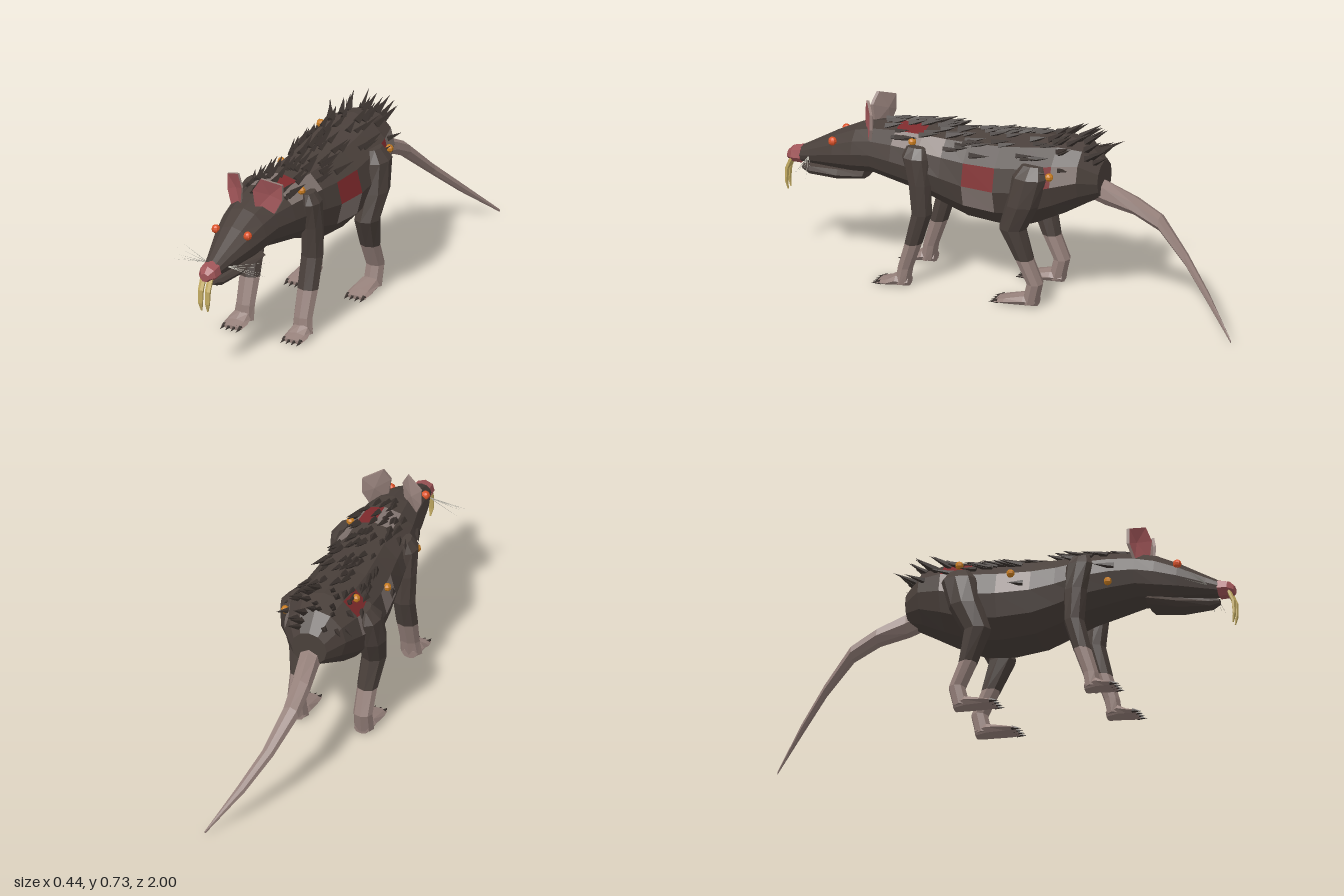
import * as THREE from 'three';
import { mergeGeometries } from 'three/addons/utils/BufferGeometryUtils.js';

const paint = (name, color) => Object.assign(new THREE.MeshStandardMaterial({ color }), { name });

export function createModel() {
  const model = new THREE.Group();
  const fur = paint('fur', 0x4a403b), bristle = paint('dark bristle', 0x3a322e);
  const skin = paint('bare skin', 0x95807a), patch = paint('taupe patch', 0x827570);
  const red = paint('red patch', 0x7e2a2c), pink = paint('pink', 0xa05558);
  const eyeRed = paint('eye orange', 0xdc5228), brass = paint('brass', 0xc87c20);
  const ivory = paint('tooth ivory', 0xc4ac62), pale = paint('whisker', 0xb5b2a8);

  const add = (name, geo, mat) => {
    let g = geo.index ? geo.toNonIndexed() : geo;
    g.computeVertexNormals();   // split corners give faceted shading
    const mesh = new THREE.Mesh(g, mat);
    mesh.name = name;
    model.add(mesh);
    return mesh;
  };

  // Skin rings [x, y, z, rx, r2]; axis 'z' runs front to back, axis 'y' runs upward.
  function loft(rings, sides, axis, materialAt = () => 0, slots = 1) {
    const buckets = Array.from({ length: slots }, () => []);
    const point = ([x, y, z, rx, r2], j) => {
      const a = j / sides * Math.PI * 2, s = Math.sin(a) * rx, c = Math.cos(a) * r2;
      return axis === 'z' ? [x + s, y + c, z] : [x + s, y, z + c];
    };
    for (let j = 0; j < sides; j++) {
      for (let i = 0; i < rings.length - 1; i++) {
        const a = point(rings[i], j), b = point(rings[i], j + 1);
        const c = point(rings[i + 1], j + 1), d = point(rings[i + 1], j);
        buckets[materialAt(i, j)].push(...a, ...b, ...c, ...a, ...c, ...d);
      }
      const first = rings[0], last = rings[rings.length - 1];
      buckets[0].push(...first.slice(0, 3), ...point(first, j + 1), ...point(first, j));
      buckets[0].push(...last.slice(0, 3), ...point(last, j), ...point(last, j + 1));
    }
    const geo = new THREE.BufferGeometry();
    geo.setAttribute('position', new THREE.Float32BufferAttribute(buckets.flat(), 3));
    let start = 0;
    if (slots > 1) buckets.forEach((b, k) => {
      geo.addGroup(start, b.length / 3, k);
      start += b.length / 3;
    });
    return geo;
  }

  // Pointed cone standing at p along dir
  const UP = new THREE.Vector3(0, 1, 0);
  function thorn(p, dir, length, radius, sides) {
    const q = new THREE.Quaternion().setFromUnitVectors(UP, dir.clone().normalize());
    return new THREE.ConeGeometry(radius, length, sides).toNonIndexed()
      .translate(0, length / 2, 0).applyQuaternion(q).translate(p.x, p.y, p.z);
  }
  const V = (x, y, z) => new THREE.Vector3(x, y, z);

  // Head and body: z, half width, top, bottom
  const profile = [
    [0.94, 0.036, 0.465, 0.405], [0.88, 0.052, 0.50, 0.405], [0.77, 0.086, 0.565, 0.405],
    [0.68, 0.106, 0.61, 0.405], [0.60, 0.118, 0.63, 0.415], [0.50, 0.138, 0.645, 0.395],
    [0.38, 0.152, 0.65, 0.37], [0.28, 0.155, 0.65, 0.33], [0.18, 0.165, 0.655, 0.295],
    [0.04, 0.178, 0.665, 0.285], [-0.08, 0.178, 0.68, 0.30], [-0.20, 0.165, 0.695, 0.36],
    [-0.30, 0.13, 0.68, 0.42], [-0.37, 0.075, 0.61, 0.46],
  ];
  const bodyRings = profile.map(([z, w, t, b]) => [0, (t + b) / 2, z, w, (t - b) / 2]);
  // Coloured cells keyed by ring,side
  const cells = {
    '5,0': 2, '5,11': 1, '5,1': 1, '6,1': 1, '8,2': 2, '8,3': 1,
    '10,2': 2, '11,2': 1, '10,10': 2, '10,9': 1, '8,9': 1,
  };
  add('body', loft(bodyRings, 12, 'z', (i, j) => cells[`${i},${j}`] || 0, 3), [fur, patch, red]);

  // Point and outward direction on the body
  function onBody(z, angle) {
    let i = 0;
    while (i < bodyRings.length - 2 && bodyRings[i + 1][2] > z) i++;
    const A = bodyRings[i], B = bodyRings[i + 1], t = (A[2] - z) / (A[2] - B[2]);
    const [, y, , w, h] = A.map((v, k) => v + (B[k] - v) * t);
    const s = Math.sin(angle), c = Math.cos(angle);
    return { p: V(w * s * 0.97, y + h * c * 0.97, z), n: V(s / w, c / h, 0).normalize() };
  }

  // Bristles leaning back over the spine, standing up on the rump
  let seed = 11;
  const rand = () => (seed = (seed * 16807) % 2147483647) / 2147483647;
  const bristles = [];
  for (let k = 0; k < 110; k++) {
    const z = 0.57 - 0.92 * (k + rand()) / 110;
    const angle = (rand() - 0.5) * (k % 5 ? 1.7 : 2.8);
    const { p, n } = onBody(z, angle);
    const lift = z < -0.15 ? 0.75 : 0.38;
    bristles.push(thorn(p, n.multiplyScalar(lift).add(V((rand() - 0.5) * 0.3, 0, -1)),
      0.06 + rand() * 0.045, 0.011 + rand() * 0.006, 4));
  }
  add('backBristles', mergeGeometries(bristles), bristle);

  // Brass studs on the patches
  [[0.41, 0.82], [-0.2, 1.3], [-0.13, -0.68], [0.1, -1.1], [0.5, -1.9]].forEach(([z, angle]) => {
    const { p, n } = onBody(z, angle);
    p.addScaledVector(n, 0.01);
    add('stud', new THREE.SphereGeometry(0.017, 7, 5).translate(p.x, p.y, p.z), brass);
  });

  // Nose, lower jaw and tail
  add('nose', loft([[0, 0.425, 0.988, 0.02, 0.018], [0, 0.432, 0.965, 0.04, 0.034],
    [0, 0.437, 0.925, 0.043, 0.039]], 7, 'z'), pink);
  add('lowerJaw', loft([[0, 0.383, 0.925, 0.015, 0.012], [0, 0.378, 0.89, 0.032, 0.022],
    [0, 0.388, 0.76, 0.06, 0.028], [0, 0.41, 0.64, 0.08, 0.025]], 8, 'z'), fur);
  add('tail', loft([[0, 0.50, -0.32, 0.05, 0.055], [0, 0.475, -0.38, 0.045, 0.05],
    [-0.01, 0.435, -0.5, 0.042, 0.036], [-0.008, 0.38, -0.61, 0.036, 0.034],
    [0.04, 0.26, -0.74, 0.025, 0.025], [0.11, 0.145, -0.86, 0.019, 0.02],
    [0.207, 0.012, -1, 0.003, 0.006]], 7, 'z'), skin);

  // Cupped ear outline, x and y
  const earEdge = [[0.035, 0.595], [0.1, 0.58], [0.125, 0.635], [0.125, 0.70], [0.052, 0.73], [0.025, 0.68]];
  function earFan(s, back) {
    const pos = [], at = ([x, y], dz) => [s * x, y, 0.645 - (x - 0.03) * 0.6 + dz - (back ? 0.012 : 0)];
    earEdge.forEach((e, i) => {
      const f = earEdge[(i + 1) % earEdge.length];
      const tri = [at([0.078, 0.655], -0.014), at(e, 0), at(f, 0)];
      if ((s < 0) !== back) tri.reverse();
      pos.push(...tri.flat());
      if (back) {   // rim joining front and back
        const up = (p) => [p[0], p[1], p[2] + 0.012], a = at(e, 0), b = at(f, 0);
        const rim = [[a, b, up(b)], [a, up(b), up(a)]];
        rim.forEach((r) => pos.push(...(s < 0 ? r.reverse() : r).flat()));
      }
    });
    const g = new THREE.BufferGeometry();
    return g.setAttribute('position', new THREE.Float32BufferAttribute(pos, 3));
  }

  // Leg rings from the ground up, sharing the ring where the fur ends
  const legs = {
    front: {
      bare: [[0.135, 0.015, 0.44, 0.046, 0.03], [0.132, 0.08, 0.43, 0.042, 0.032], [0.133, 0.19, 0.395, 0.046, 0.036]],
      furry: [[0.133, 0.19, 0.395, 0.047, 0.037], [0.133, 0.32, 0.36, 0.048, 0.042],
        [0.14, 0.45, 0.367, 0.044, 0.048], [0.147, 0.56, 0.385, 0.035, 0.055], [0.135, 0.6, 0.385, 0.018, 0.04]],
      toe: 0.535, heel: 0.41,
    },
    hind: {
      bare: [[0.138, 0.015, -0.11, 0.042, 0.035], [0.14, 0.1, -0.13, 0.04, 0.034], [0.142, 0.2, -0.085, 0.042, 0.038]],
      furry: [[0.142, 0.2, -0.085, 0.043, 0.039], [0.155, 0.33, -0.04, 0.052, 0.058],
        [0.165, 0.44, -0.085, 0.057, 0.07], [0.165, 0.56, -0.115, 0.045, 0.072], [0.145, 0.605, -0.12, 0.022, 0.045]],
      toe: 0.03, heel: -0.14,
    },
  };

  for (const s of [1, -1]) {
    const side = s > 0 ? 'left' : 'right';
    const flip = (rings) => rings.map(([x, ...rest]) => [s * x, ...rest]);
    for (const [which, { bare, furry, toe, heel }] of Object.entries(legs)) {
      const name = `${side} ${which}`;
      add(`${name} upper leg`, loft(flip(furry), 8, 'y'), fur);
      add(`${name} lower leg`, loft(flip(bare), 8, 'y'), skin);
      add(`${name} foot`, loft(flip([[0.138, 0.01, toe, 0.046, 0.008], [0.138, 0.016, toe - 0.04, 0.05, 0.015],
        [0.137, 0.028, heel + 0.05, 0.045, 0.027], [0.136, 0.022, heel, 0.03, 0.02]]), 8, 'z'), skin);
      const claws = [-1.5, -0.5, 0.5, 1.5].map((k) =>
        thorn(V(s * 0.138 + k * 0.024, 0.012, toe - 0.012), V(0, -0.2, 1), 0.04, 0.01, 5));
      add(`${name} claws`, mergeGeometries(claws), bristle);
    }

    add(`${side} ear inner`, earFan(s, false), pink);
    add(`${side} ear outer`, earFan(s, true), skin);
    add(`${side} eye`, new THREE.SphereGeometry(0.018, 8, 6).translate(s * 0.073, 0.54, 0.77), eyeRed);
    add(`${side} incisor`, loft(flip([[0.014, 0.28, 0.985, 0.003, 0.003], [0.016, 0.315, 0.991, 0.011, 0.007],
      [0.016, 0.37, 0.988, 0.013, 0.009], [0.016, 0.43, 0.962, 0.014, 0.01]]), 6, 'y'), ivory);

    // Whiskers fanning out and back
    const whiskers = [[0.47, 0.81], [0.455, 0.84], [0.44, 0.865], [0.425, 0.885], [0.41, 0.83]].map(([y, z]) => {
      const root = V(s * 0.045, 0.445, 0.885), dir = V(s * 0.208, y, z).sub(root);
      return thorn(root, dir, dir.length(), 0.0018, 3);
    });
    add(`${side} whiskers`, mergeGeometries(whiskers), pale);
  }
  return model;
}
